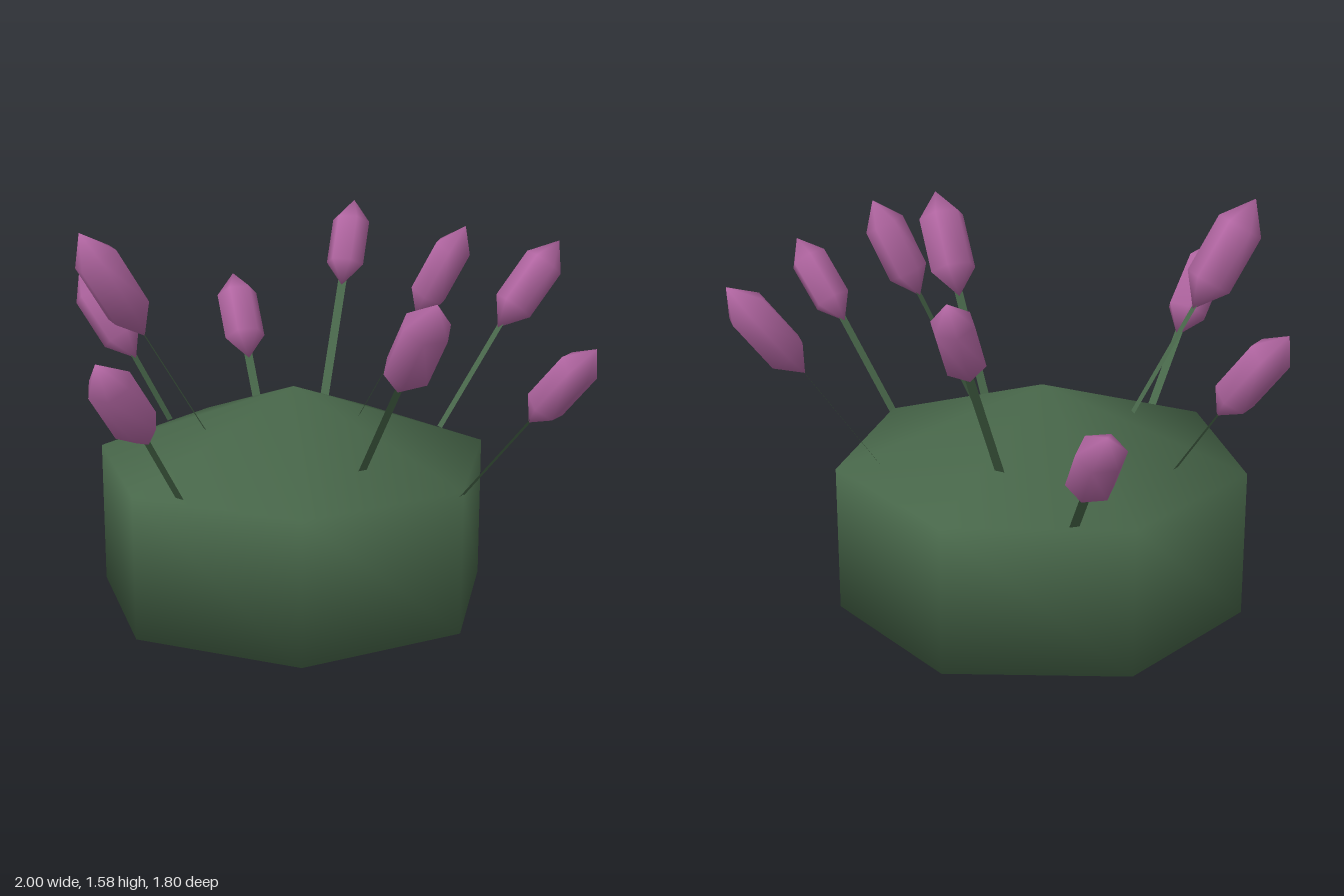
import * as THREE from 'three';

const green = new THREE.MeshStandardMaterial({ color: 0x48674a, side: THREE.DoubleSide });
green.name = 'leaf green';
const purple = new THREE.MeshStandardMaterial({ color: 0xb266a2 });
purple.name = 'blossom purple';

// Each flower: stem base, bud bottom, bud tip
const FLOWERS = [
  [[0.54, 0.73, 0.07], [0.78, 1.03, 0.13], [1.0, 1.30, 0.17]],
  [[0.24, 0.82, 0.19], [0.40, 1.13, 0.30], [0.58, 1.46, 0.45]],
  [[-0.26, 0.74, 0.51], [-0.29, 0.98, 0.67], [-0.34, 1.29, 0.90]],
  [[-0.36, 0.87, 0.13], [-0.51, 1.22, 0.27], [-0.66, 1.58, 0.42]],
  [[-0.63, 0.81, -0.125], [-0.77, 1.02, -0.14], [-1.0, 1.32, -0.155]],
  [[-0.49, 0.75, -0.58], [-0.58, 0.91, -0.69], [-0.735, 1.19, -0.88]],
  [[-0.18, 0.82, -0.47], [-0.21, 1.22, -0.72], [-0.23, 1.51, -0.89]],
  [[0.27, 0.79, -0.48], [0.42, 1.13, -0.66], [0.59, 1.43, -0.82]],
  [[0.10, 0.91, -0.13], [0.29, 1.27, -0.16], [0.45, 1.58, -0.185]],
];

// Places a mesh so local y runs from a to b and local x stays horizontal
function alignBetween(mesh, a, b) {
  const y = b.clone().sub(a).normalize();
  const x = new THREE.Vector3(0, 1, 0).cross(y).normalize();
  const z = x.clone().cross(y);
  mesh.quaternion.setFromRotationMatrix(new THREE.Matrix4().makeBasis(x, y, z));
  mesh.position.copy(a).add(b).multiplyScalar(0.5);
}

export function createModel() {
  const model = new THREE.Group();
  model.name = 'floweringBush';

  // Seven-sided bush with a corner at the back
  const bush = new THREE.Mesh(new THREE.SphereGeometry(1, 7, 3, -Math.PI / 2), green);
  bush.name = 'bush';
  bush.scale.set(0.8, 0.5, 0.8);
  bush.position.set(-0.125, 0.5, -0.08);
  model.add(bush);

  const budShape = new THREE.SphereGeometry(1, 6, 3);
  FLOWERS.forEach((points, i) => {
    const [base, bottom, tip] = points.map((p) => new THREE.Vector3(...p));
    const flower = new THREE.Group();
    flower.name = `flower${i + 1}`;

    // Flat ribbon stem, reaching slightly into the bud
    const stemTop = bottom.clone().lerp(tip, 0.08);
    const stem = new THREE.Mesh(new THREE.PlaneGeometry(0.032, base.distanceTo(stemTop)), green);
    stem.name = 'stem';
    alignBetween(stem, base, stemTop);

    // Long pointed bud, wider than it is deep
    const length = bottom.distanceTo(tip);
    const bud = new THREE.Mesh(budShape, purple);
    bud.name = 'bud';
    bud.scale.set(0.24 * length, length / 2, 0.215 * length);
    alignBetween(bud, bottom, tip);

    flower.add(stem, bud);
    model.add(flower);
  });
  return model;
}
